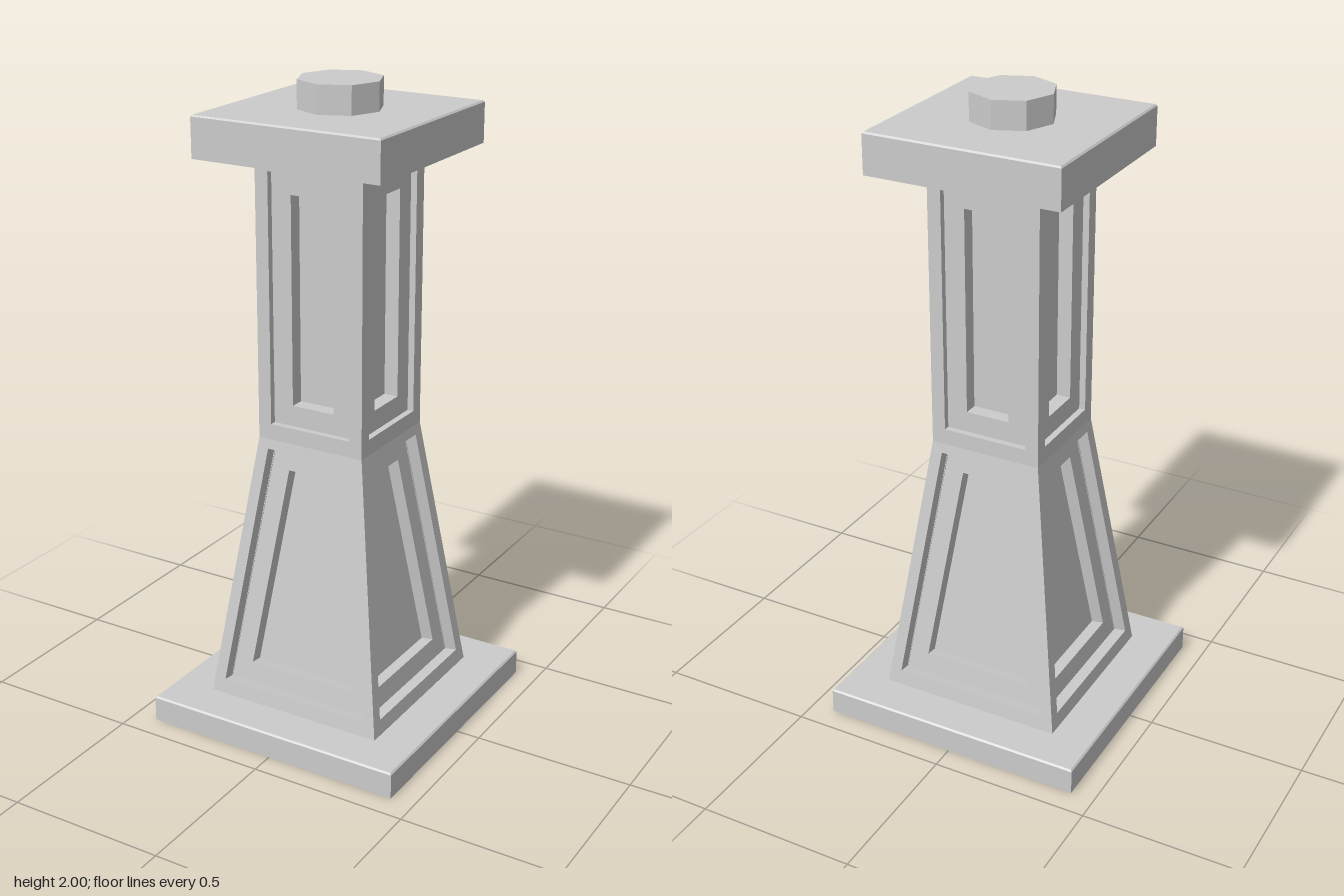
import * as THREE from 'three';

const material = new THREE.MeshStandardMaterial({ color: 0xcccccc, flatShading: true, side: THREE.DoubleSide });

// Square slab with a tiny chamfer around its top edge
function slab(name, half, y0, y1, bevel) {
  const group = new THREE.Group();
  group.name = name;
  const h = y1 - y0 - bevel;
  const block = new THREE.Mesh(new THREE.BoxGeometry(half * 2, h, half * 2), material);
  block.position.y = y0 + h / 2;
  block.name = name + 'Block';
  const geo = new THREE.CylinderGeometry((half - bevel) * Math.SQRT2, half * Math.SQRT2, bevel, 4);
  geo.rotateY(Math.PI / 4);
  const chamfer = new THREE.Mesh(geo, material);
  chamfer.position.y = y1 - bevel / 2;
  chamfer.name = name + 'Chamfer';
  group.add(block, chamfer);
  return group;
}

// One wall of a (tapered) square shaft with stepped recesses cut along its normal.
// Each frame is [bottom half width, top half width, bottom y, top y, depth].
function panelWall(frames) {
  const [b, t, y0, y1] = frames[0];
  const slope = (b - t) / (y1 - y0);
  const len = Math.hypot(1, slope);
  const rings = frames.map(([wb, wt, ya, yb, d]) =>
    [[-wb, ya], [wb, ya], [wt, yb], [-wt, yb]].map(([x, y]) =>
      [x, y - d * slope / len, b - (y - y0) * slope - d / len]));
  const pos = [];
  const quad = (p, q, r, s) => pos.push(...p, ...q, ...r, ...p, ...r, ...s);
  for (let i = 0; i + 1 < rings.length; i++) {
    for (let k = 0; k < 4; k++) {
      const n = (k + 1) % 4;
      quad(rings[i][k], rings[i][n], rings[i + 1][n], rings[i + 1][k]);
    }
  }
  quad(...rings[rings.length - 1]);
  const geo = new THREE.BufferGeometry();
  geo.setAttribute('position', new THREE.Float32BufferAttribute(pos, 3));
  geo.computeVertexNormals();
  return geo;
}

// Four identical walls around the axis
function shaft(name, body, outer, inner, d1, d2) {
  const group = new THREE.Group();
  group.name = name;
  const geo = panelWall([
    [...body, 0], [...outer, 0], [...outer, d1], [...inner, d1], [...inner, d2],
  ]);
  for (let i = 0; i < 4; i++) {
    const wall = new THREE.Mesh(geo, material);
    wall.name = name + 'Wall';
    wall.rotation.y = i * Math.PI / 2;
    group.add(wall);
  }
  return group;
}

export function createModel() {
  const model = new THREE.Group();
  model.name = 'pedestal';

  // Foot and cap slabs
  model.add(slab('base', 0.425, 0, 0.083, 0.005));
  model.add(slab('cap', 0.305, 1.79, 1.915, 0.005));

  // Tapered lower shaft and straight upper shaft
  model.add(shaft('lowerShaft', [0.295, 0.178, 0.08, 0.93],
    [0.25, 0.145, 0.13, 0.9], [0.177, 0.09, 0.195, 0.835], 0.04, 0.08));
  model.add(shaft('upperShaft', [0.178, 0.178, 0.93, 1.79],
    [0.135, 0.135, 0.98, 1.75], [0.07, 0.07, 1.045, 1.685], 0.02, 0.065));

  // Octagonal stud on top
  const stud = new THREE.Mesh(new THREE.CylinderGeometry(0.127, 0.127, 0.09, 8), material);
  stud.name = 'topStud';
  stud.position.y = 1.955;
  model.add(stud);

  return model;
}
